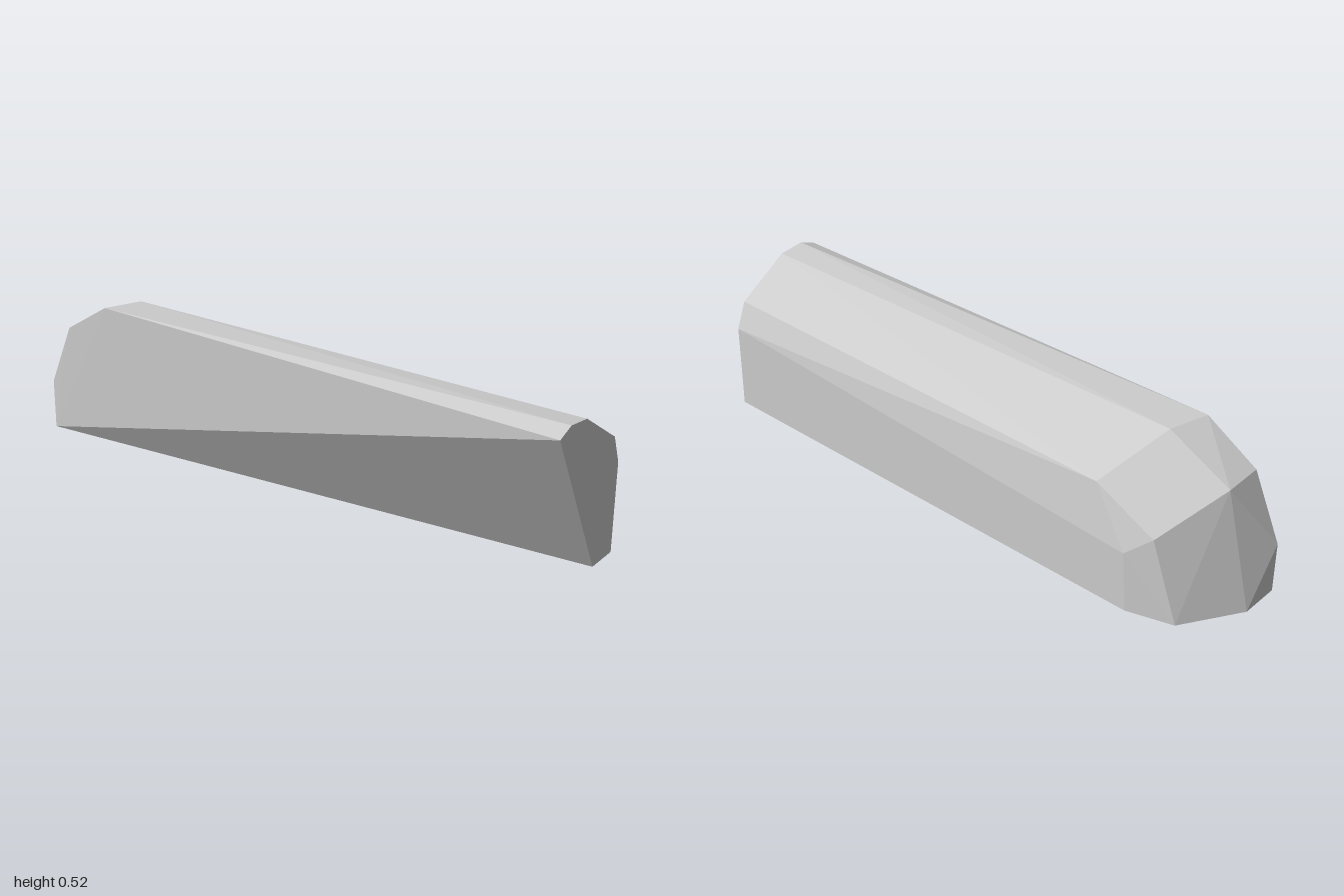
import * as THREE from 'three';
import { ConvexGeometry } from 'three/addons/geometries/ConvexGeometry.js';

export function createModel() {
  const group = new THREE.Group();
  group.name = 'chamferedBlock';
  const stone = new THREE.MeshStandardMaterial({ color: 0xcccccc });
  stone.name = 'light grey';

  // flat cut end at x = 1, as [y, z]
  const cutEnd = [
    [0.5, 0.19], [0.523, 0.13], [0.512, 0.04], [0.393, -0.145],
    [0.3, -0.183], [0, -0.188], [0, -0.073],
  ].map(([y, z]) => [1, y, z]);

  // faceted rounded end
  const roundedEnd = [
    // foot
    [-1, 0, 0.185], [-1, 0, 0.05], [-0.88, 0, -0.143], [-0.73, 0, -0.188],
    // shoulders, from front to back
    [-1, 0.175, 0.182], [-0.9, 0.395, 0.182], [-0.9, 0.39, 0.05],
    [-0.79, 0.27, -0.153], [-0.71, 0.2, -0.185],
    // roof corners
    [-0.72, 0.505, 0.182], [-0.68, 0.502, 0.05], [-0.58, 0.378, -0.157],
  ];

  // straight facets joining both ends, with the undercut front corner
  const points = [...cutEnd, ...roundedEnd].map((p) => new THREE.Vector3(...p));
  const block = new THREE.Mesh(new ConvexGeometry(points), stone);
  block.name = 'block';
  group.add(block);
  return group;
}
